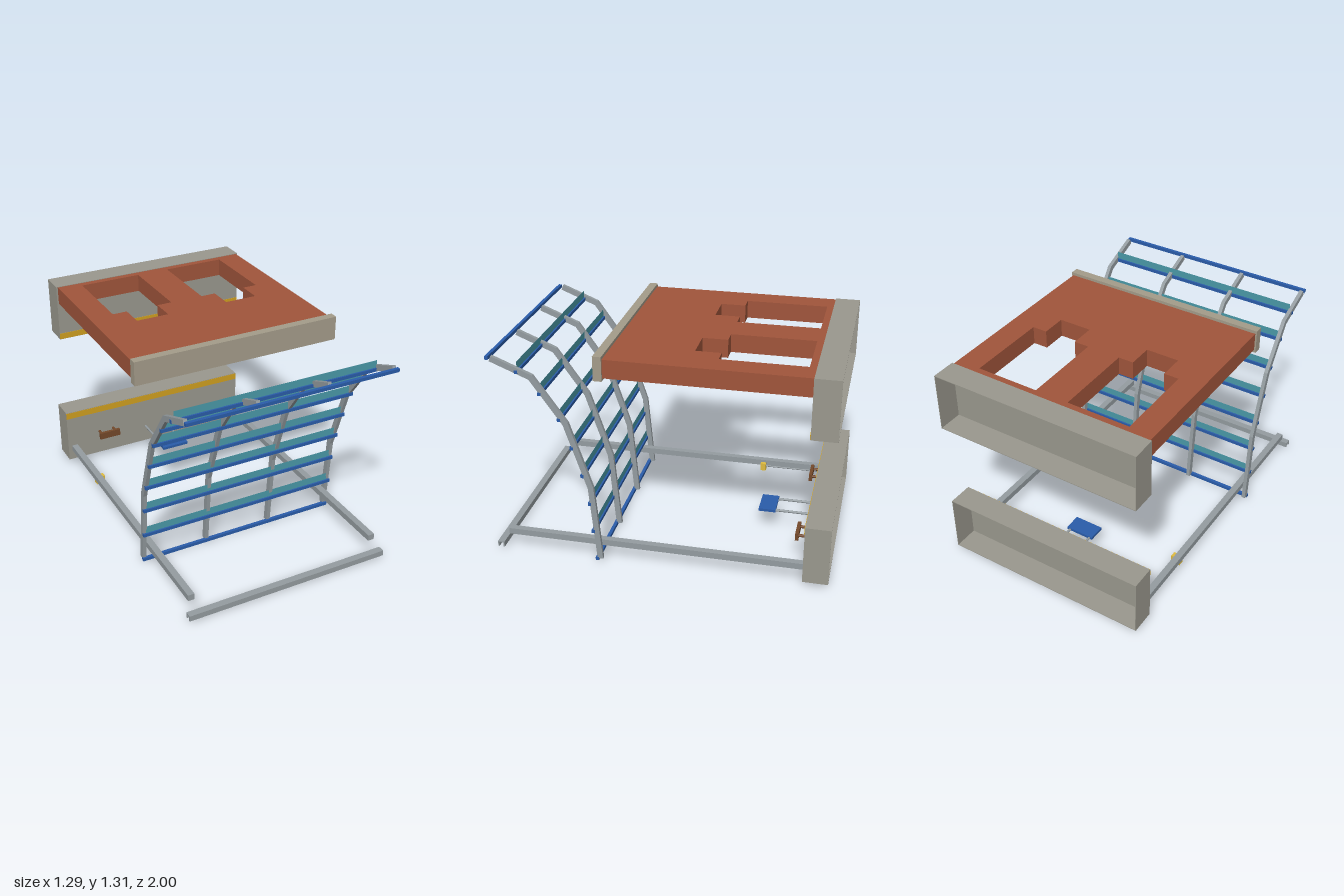
import * as THREE from 'three';

const mat = (color) => new THREE.MeshStandardMaterial({ color });
const M = {
  housing: mat(0x9a988e), fascia: mat(0xa49c8a), steel: mat(0x949ca0), brick: mat(0xa0553b),
  blue: mat(0x2a5caa), teal: mat(0x4a9aa8), amber: mat(0xd0a020), brown: mat(0x74492a), yellow: mat(0xe0bc40),
};
M.teal.side = THREE.DoubleSide;

function add(parent, name, geo, material) {
  const mesh = new THREE.Mesh(geo, material);
  mesh.name = name;
  parent.add(mesh);
  return mesh;
}

// Box given by its minimum and maximum on each axis
function block(parent, name, material, [x0, x1], [y0, y1], [z0, z1]) {
  const mesh = add(parent, name, new THREE.BoxGeometry(x1 - x0, y1 - y0, z1 - z0), material);
  mesh.position.set((x0 + x1) / 2, (y0 + y1) / 2, (z0 + z1) / 2);
  return mesh;
}

// Round rod running along z
function rod(parent, name, material, r, x, y, z0, z1) {
  const geo = new THREE.CylinderGeometry(r, r, z1 - z0, 12).rotateX(Math.PI / 2);
  add(parent, name, geo, material).position.set(x, y, (z0 + z1) / 2);
}

// Bent post: a mitred band around a (z, y) path, extruded across x
function postGeometry(path, thick, width) {
  const pts = path.map(([z, y]) => new THREE.Vector2(z, y));
  const normal = (a, b) => new THREE.Vector2(a.y - b.y, b.x - a.x).normalize();
  const front = [], back = [];
  pts.forEach((p, i) => {
    const n0 = normal(pts[Math.max(i - 1, 0)], pts[Math.max(i, 1)]);
    const n1 = i < pts.length - 1 ? normal(p, pts[i + 1]) : n0;
    const m = n0.clone().add(n1).normalize();
    m.multiplyScalar(thick / 2 / m.dot(n0));
    front.push(p.clone().sub(m));
    back.unshift(p.clone().add(m));
  });
  const geo = new THREE.ExtrudeGeometry(new THREE.Shape([...front, ...back]), { depth: width, bevelEnabled: false });
  return geo.translate(0, 0, -width / 2).rotateY(-Math.PI / 2);
}

// Rear housing: shallow tray open to the back, with a front stripe
function housing(name, y0, y1, stripe) {
  const g = new THREE.Group(), t = 0.004, w = 0.645, z = [-1, -0.85];
  g.name = name;
  block(g, 'housingFront', M.housing, [-w, w], [y0, y1], [-0.85 - t, -0.85]);
  block(g, 'housingTop', M.housing, [-w, w], [y1 - t, y1], z);
  block(g, 'housingBottom', M.housing, [-w, w], [y0, y0 + t], z);
  for (const s of [-1, 1]) {
    block(g, 'housingEnd', M.housing, s < 0 ? [-w, -w + t] : [w - t, w], [y0, y1], z);
  }
  block(g, 'stripe', M.amber, [-w, w], stripe, [-0.85, -0.847]);
  return g;
}

export function createModel() {
  const model = new THREE.Group();

  model.add(housing('upperHousing', 0.94, 1.3, [0.942, 0.98]));
  model.add(housing('lowerHousing', 0.03, 0.39, [0.345, 0.387]));

  // Upper deck with two stepped openings
  const deck = new THREE.Shape([[-0.635, -0.305], [0.635, -0.305], [0.635, 0.852], [-0.635, 0.852]]
    .map((p) => new THREE.Vector2(...p)));
  for (const s of [-1, 1]) {
    const half = [[0.103, 0.81], [0.103, 0.315], [0.195, 0.315], [0.195, 0.165],
      [0.396, 0.165], [0.396, 0.315], [0.486, 0.315], [0.486, 0.81]];
    deck.holes.push(new THREE.Path(half.map(([x, y]) => new THREE.Vector2(s * x, y))));
  }
  const deckGeo = new THREE.ExtrudeGeometry(deck, { depth: 0.11, bevelEnabled: false }).rotateX(-Math.PI / 2);
  add(model, 'upperDeck', deckGeo, M.brick).position.y = 1.187;
  block(model, 'deckFascia', M.fascia, [-0.645, 0.645], [1.17, 1.315], [0.305, 0.355]);

  // Curved front screen
  const screen = new THREE.Group();
  screen.name = 'frontScreen';
  model.add(screen);
  const postGeo = postGeometry([[0.353, 0.013], [0.396, 0.487], [0.53, 0.888], [0.72, 1.155], [0.952, 1.248]], 0.034, 0.023);
  for (const x of [-0.632, -0.217, 0.217, 0.632]) add(screen, 'curvedPost', postGeo, M.steel).position.x = x;
  const bars = [[0.372, 0.011], [0.39, 0.198], [0.406, 0.38], [0.444, 0.561], [0.5, 0.735],
    [0.567, 0.908], [0.674, 1.058], [0.803, 1.18], [0.973, 1.25]];
  bars.forEach(([z, y], i) => {
    block(screen, 'crossBar', M.blue, [-0.645, 0.645], [y - 0.01, y + 0.01], [z - 0.01, z + 0.01]);
    if (i > 0 && i < bars.length - 1) {
      add(screen, 'slat', new THREE.PlaneGeometry(1.25, 0.05), M.teal).position.set(0, y + 0.031, z);
    }
  });

  // Floor rails and the front sill channel, open below
  for (const s of [-1, 1]) {
    block(model, 'floorRail', M.steel, [s * 0.6 - 0.02, s * 0.6 + 0.02], [0.096, 0.134], [-0.85, 0.93]);
  }
  const sill = new THREE.Group();
  sill.name = 'frontSill';
  model.add(sill);
  block(sill, 'sillTop', M.steel, [-0.645, 0.645], [0.04, 0.048], [0.958, 1]);
  block(sill, 'sillBack', M.steel, [-0.645, 0.645], [0.013, 0.04], [0.958, 0.966]);
  block(sill, 'sillFront', M.steel, [-0.645, 0.645], [0.013, 0.04], [0.992, 1]);

  // Brown pedals, each on two stems
  for (const s of [-1, 1]) {
    const x = s * 0.365;
    block(model, 'pedal', M.brown, [x - 0.072, x + 0.072], [0.17, 0.215], [-0.797, -0.777]);
    for (const d of [-0.05, 0.05]) rod(model, 'pedalStem', M.brown, 0.009, x + d, 0.194, -0.85, -0.795);
  }

  // Central blue pad on two arms
  block(model, 'centrePad', M.blue, [-0.09, 0.09], [0.135, 0.152], [-0.615, -0.51]);
  for (const x of [-0.07, 0.07]) rod(model, 'padArm', M.steel, 0.008, x, 0.141, -0.85, -0.6);

  // Yellow clamp and rod under one rail
  block(model, 'clamp', M.yellow, [-0.613, -0.556], [0.067, 0.118], [-0.46, -0.424]);
  rod(model, 'clampRod', M.steel, 0.006, -0.585, 0.09, -0.85, -0.46);

  return model;
}
